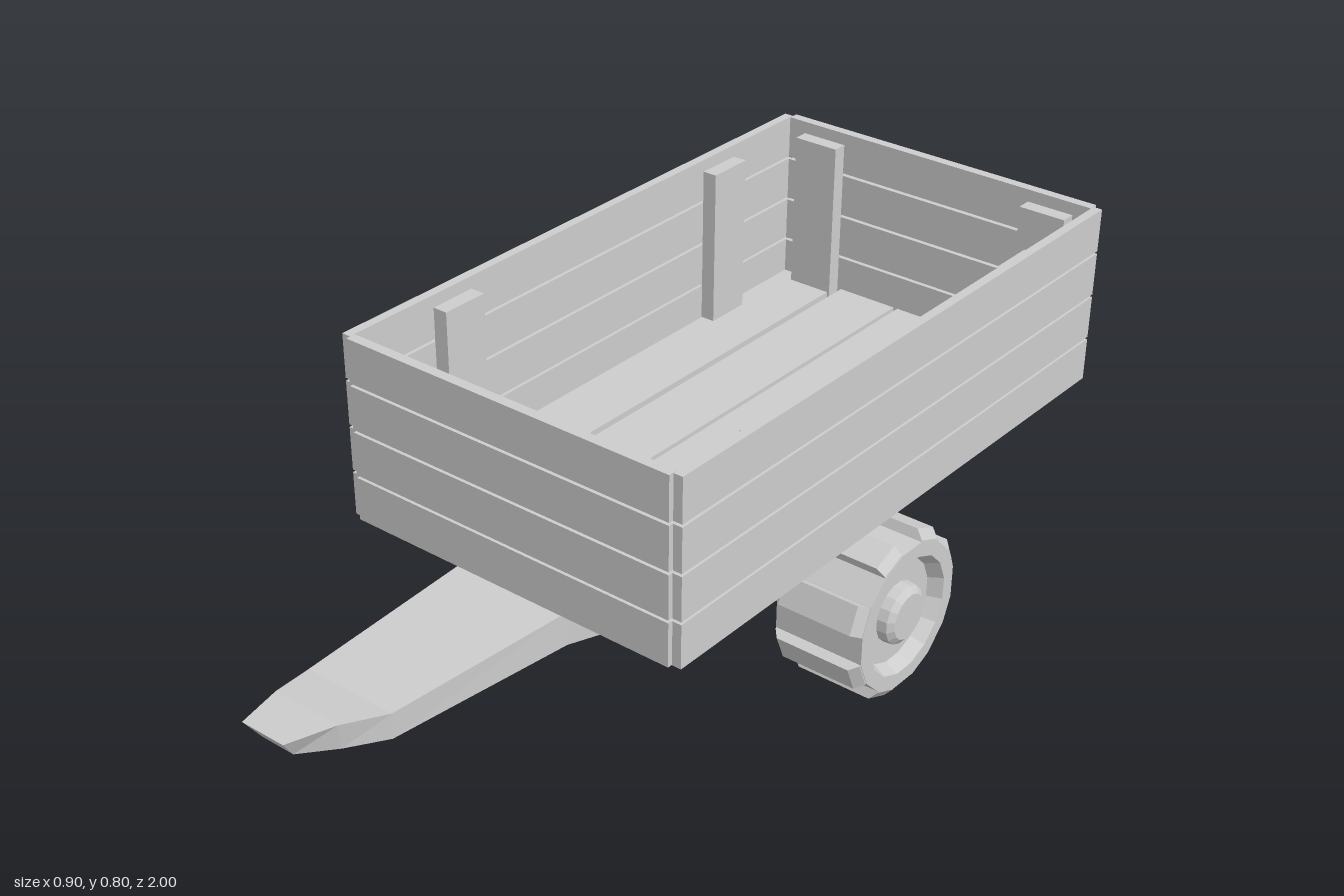
import * as THREE from 'three';

const grey = new THREE.MeshStandardMaterial({ color: 0xcccccc, flatShading: true });
grey.name = 'plain grey';

function add(parent, name, geometry, x = 0, y = 0, z = 0) {
  const mesh = new THREE.Mesh(geometry, grey);
  mesh.name = name;
  mesh.position.set(x, y, z);
  parent.add(mesh);
  return mesh;
}

// box given by its minimum and maximum on each axis
function board(parent, name, [x0, x1], [y0, y1], [z0, z1]) {
  return add(parent, name, new THREE.BoxGeometry(x1 - x0, y1 - y0, z1 - z0),
    (x0 + x1) / 2, (y0 + y1) / 2, (z0 + z1) / 2);
}

// skin over four-cornered sections running from back to front
function loft(sections) {
  const pos = [], index = [];
  for (const { w, y, z } of sections) {
    pos.push(-w[0], y[0], z[0], w[0], y[0], z[0], w[1], y[1], z[1], -w[1], y[1], z[1]);
  }
  for (let i = 0; i < sections.length - 1; i++) {
    for (let k = 0; k < 4; k++) {
      const a = i * 4 + k, b = i * 4 + (k + 1) % 4;
      index.push(a, a + 4, b + 4, a, b + 4, b);
    }
  }
  const e = (sections.length - 1) * 4;
  index.push(0, 1, 2, 0, 2, 3, e, e + 3, e + 2, e, e + 2, e + 1);
  const g = new THREE.BufferGeometry();
  g.setAttribute('position', new THREE.Float32BufferAttribute(pos, 3));
  g.setIndex(index);
  const flat = g.toNonIndexed();
  flat.computeVertexNormals();
  return flat;
}

// wheel whose axis is local y, with its outer face at y = width
function makeWheel(radius, width) {
  const wheel = new THREE.Group();
  const base = radius - 0.019;
  const profile = [
    [0, 0], [base, 0], [base, width], [0.13, width], [0.115, width - 0.03],
    [0.066, width - 0.03], [0.064, width - 0.008], [0.05, width + 0.003], [0, width + 0.003],
  ].map(([r, y]) => new THREE.Vector2(r, y));
  add(wheel, 'tyreAndHub', new THREE.LatheGeometry(profile, 16, Math.PI / 16));

  // chamfered tread blocks
  const shape = new THREE.Shape([
    [base - 0.02, 0.001], [base, 0.001], [radius, 0.017], [radius, width - 0.017],
    [base, width - 0.001], [base - 0.02, width - 0.001],
  ].map(([r, y]) => new THREE.Vector2(r, y)));
  const tread = new THREE.ExtrudeGeometry(shape, { depth: 0.062, bevelEnabled: false });
  tread.translate(0, 0, -0.031);
  for (let i = 0; i < 8; i++) {
    add(wheel, 'tread', tread).rotation.y = (i + 0.5) * Math.PI / 4;
  }
  return wheel;
}

export function createModel() {
  const model = new THREE.Group();
  model.name = 'trailer';

  // wall planks, four rows on each side
  const walls = new THREE.Group();
  walls.name = 'walls';
  model.add(walls);
  for (let i = 0; i < 4; i++) {
    const y = [0.408 + i * 0.1, 0.502 + i * 0.1];
    board(walls, 'leftPlank', [0.383, 0.403], y, [-0.988, 0.388]);
    board(walls, 'rightPlank', [-0.405, -0.385], y, [-0.988, 0.388]);
    board(walls, 'frontPlank', [-0.384, 0.382], y, [0.376, 0.398]);
    board(walls, 'backPlank', [-0.384, 0.382], y, [-1, -0.978]);
  }

  // floor planks and the battens below them
  const floor = new THREE.Group();
  floor.name = 'floor';
  model.add(floor);
  for (const [x0, x1] of [[-0.384, -0.24], [-0.225, -0.08], [-0.07, 0.07], [0.08, 0.225], [0.24, 0.384]]) {
    board(floor, 'floorPlank', [x0, x1], [0.408, 0.425], [-0.98, 0.378]);
  }
  for (const z of [0.12, -0.11, -0.42, -0.71]) {
    board(floor, 'batten', [-0.375, 0.37], [0.39, 0.408], [z - 0.042, z + 0.042]);
  }

  // posts that hold the wall planks
  const posts = new THREE.Group();
  posts.name = 'posts';
  model.add(posts);
  const high = [0.41, 0.775];
  for (const s of [-1, 1]) {
    const span = (a, b) => s > 0 ? [a, b] : [-b, -a];
    for (const z of [0.115, -0.72]) board(posts, 'sidePost', span(0.352, 0.386), high, [z - 0.053, z + 0.053]);
    board(posts, 'frontPost', span(0.235, 0.342), high, [0.345, 0.378]);
    board(posts, 'backPost', span(0.235, 0.342), high, [-0.98, -0.945]);
  }

  // chassis that narrows into the drawbar; each pair is top, bottom
  add(model, 'chassisAndDrawbar', loft([
    { w: [0.235, 0.235], y: [0.405, 0.326], z: [-0.99, -0.95] },
    { w: [0.235, 0.235], y: [0.405, 0.328], z: [0.1, 0.1] },
    { w: [0.13, 0.13], y: [0.405, 0.333], z: [0.38, 0.38] },
    { w: [0.102, 0.1], y: [0.407, 0.352], z: [0.8, 0.8] },
    { w: [0.076, 0.07], y: [0.428, 0.37], z: [0.9, 0.89] },
    { w: [0.05, 0.038], y: [0.433, 0.39], z: [1, 0.97] },
  ]));

  // axle block with chamfered lower edges
  const side = new THREE.Shape([
    [0.1, 0.335], [0.1, 0.2], [0.17, 0.125], [0.4, 0.125], [0.465, 0.2], [0.465, 0.335],
  ].map(([z, y]) => new THREE.Vector2(z, y)));
  const block = new THREE.ExtrudeGeometry(side, { depth: 0.136, bevelEnabled: false });
  block.translate(0, 0, -0.068).rotateY(Math.PI / 2);
  add(model, 'axleBlock', block);

  // axle
  const axle = new THREE.CylinderGeometry(0.034, 0.034, 0.56, 8);
  axle.rotateY(Math.PI / 8).rotateZ(Math.PI / 2);
  add(model, 'axle', axle, 0, 0.183, -0.283);

  // wheels, the left one slightly larger
  const left = makeWheel(0.181, 0.206);
  left.name = 'leftWheel';
  left.position.set(0.238, 0.182, -0.283);
  left.rotation.z = -Math.PI / 2;
  const right = makeWheel(0.17, 0.192);
  right.name = 'rightWheel';
  right.position.set(-0.254, 0.183, -0.283);
  right.rotation.z = Math.PI / 2;
  model.add(left, right);

  return model;
}
